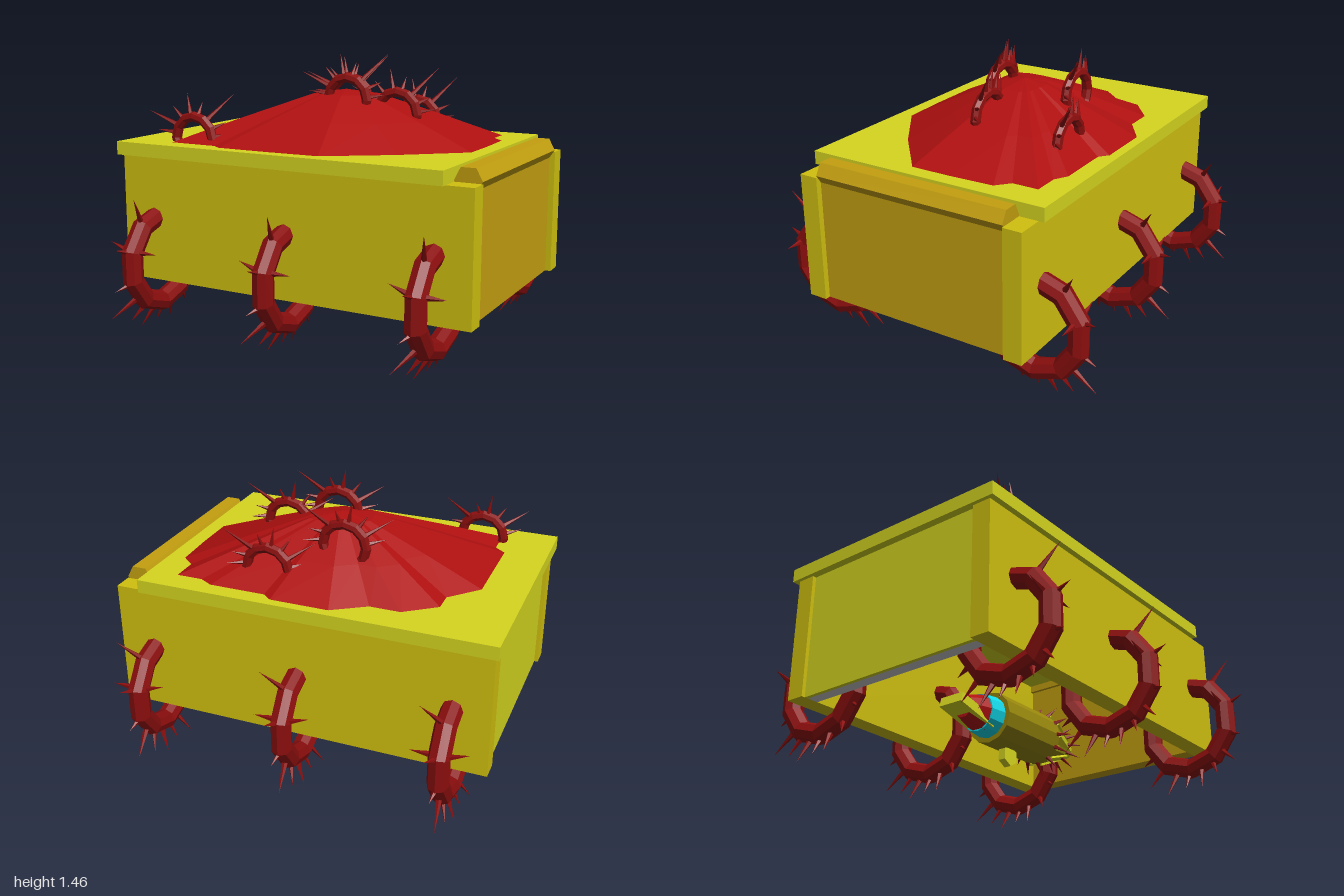
import * as THREE from 'three';

const paint = (color) => new THREE.MeshStandardMaterial({ color, flatShading: true });
const YELLOW = paint(0xd6d620), WALL = paint(0xd0c010), OCHRE = paint(0xc4a010);
const RED = paint(0xb01010), DARK_RED = paint(0x8c0e0e), CYAN = paint(0x10d8e8);
const OLIVE = paint(0x96860c), GREY = paint(0xcccccc);
const UP = new THREE.Vector3(0, 1, 0);

function add(parent, name, geometry, material, x = 0, y = 0, z = 0) {
  const mesh = new THREE.Mesh(geometry, material);
  mesh.name = name;
  mesh.position.set(x, y, z);
  parent.add(mesh);
  return mesh;
}

// Box given by its lower and upper limits on each axis
function block(parent, name, material, [x0, x1], [y0, y1], [z0, z1]) {
  return add(parent, name, new THREE.BoxGeometry(x1 - x0, y1 - y0, z1 - z0), material,
    (x0 + x1) / 2, (y0 + y1) / 2, (z0 + z1) / 2);
}

// Thin cone standing on a point and aimed along a direction
function spike(parent, base, dir, length, radius = 0.018) {
  const geometry = new THREE.ConeGeometry(radius, length, 5).translate(0, length / 2, 0);
  const mesh = add(parent, 'spike', geometry, DARK_RED, ...base);
  mesh.quaternion.setFromUnitVectors(UP, new THREE.Vector3(...dir).normalize());
}

// Ring leg passing under a long wall; side is +1 in front, -1 behind
function ringLeg(x, side) {
  const leg = new THREE.Group();
  leg.name = side > 0 ? 'frontLeg' : 'backLeg';
  leg.position.set(x, 0.38, side > 0 ? 0.62 : -0.56);
  const ring = new THREE.TorusGeometry(0.237, 0.055, 8, 10).rotateZ(Math.PI / 10).rotateY(Math.PI / 2);
  add(leg, 'ring', ring, DARK_RED);
  const spikes = [[55, 0.2], [18, 0.11], [-20, 0.1], [-42, 0.18], [-60, 0.13], [-76, 0.15],
    [-92, 0.12], [-108, 0.16], [-128, 0.15], [-150, 0.09]];
  for (const [deg, length] of spikes) {
    const a = THREE.MathUtils.degToRad(deg);
    const dy = Math.sin(a), dz = Math.cos(a) * side;
    spike(leg, [0, dy * 0.25, dz * 0.25], [0.5 * dy - 0.3 * dz, dy, dz], length);
  }
  for (const s of [1, -1]) spike(leg, [s * 0.03, 0.08, side * 0.22], [s, s > 0 ? 0 : 0.35, 0], 0.12);
  return leg;
}

// Half-buried ring on the mound with a twisted fan of spikes
function moundRing(x, y, z) {
  const group = new THREE.Group();
  group.name = 'moundRing';
  group.position.set(x, y, z);
  add(group, 'ring', new THREE.TorusGeometry(0.115, 0.027, 7, 12), DARK_RED);
  const spikes = [[168, 0.1], [148, 0.17], [125, 0.09], [100, 0.12], [78, 0.08], [52, 0.21], [28, 0.09], [8, 0.1]];
  for (const [deg, length] of spikes) {
    const a = THREE.MathUtils.degToRad(deg);
    const dx = Math.cos(a), dy = Math.sin(a);
    spike(group, [dx * 0.12, dy * 0.12, 0], [dx, dy, -0.75 * dx - 0.15], length, 0.014);
  }
  return group;
}

// Low faceted hill: one outline shrunk upward, closed at the peak
function moundGeometry() {
  const outline = [[-.16, -.59], [.15, -.59], [.2, -.55], [.5, -.55], [.57, -.51], [.71, -.51], [.71, -.37],
    [.78, -.31], [.79, -.07], [.79, .15], [.5, .4], [.18, .62], [-.1, .63], [-.4, .63], [-.46, .59],
    [-.73, .59], [-.73, .43], [-.79, .38], [-.79, -.1], [-.65, -.25], [-.65, -.36], [-.49, -.48], [-.33, -.48]];
  const levels = [[1, 0.995], [0.6, 1.12], [0.2, 1.24], [0, 1.265]];
  const n = outline.length, positions = [], index = [];
  for (const [s, y] of levels) for (const [x, z] of outline) positions.push(x * s, y, z * s);
  for (let l = 0; l < levels.length - 1; l++) {
    for (let i = 0; i < n; i++) {
      const a = l * n + i, b = l * n + (i + 1) % n;
      index.push(a, a + n, b, b, a + n, b + n);
    }
  }
  const geometry = new THREE.BufferGeometry();
  geometry.setAttribute('position', new THREE.Float32BufferAttribute(positions, 3));
  geometry.setIndex(index);
  geometry.computeVertexNormals();
  return geometry;
}

// Spiny barrel lying along x in the open underside
function spinyBarrel() {
  const group = new THREE.Group();
  group.name = 'spinyBarrel';
  group.position.set(0, 0.27, 0.03);
  const along = (g) => g.rotateZ(-Math.PI / 2);
  add(group, 'barrel', along(new THREE.CylinderGeometry(0.135, 0.135, 0.43, 12)), OLIVE, 0.01);
  add(group, 'nose', along(new THREE.CylinderGeometry(0.03, 0.135, 0.25, 12)), OLIVE, 0.35);
  add(group, 'collar', along(new THREE.CylinderGeometry(0.11, 0.1, 0.09, 12)), CYAN, -0.25);
  add(group, 'throat', along(new THREE.CylinderGeometry(0.1, 0.06, 0.13, 10)), RED, -0.34);
  block(group, 'tail', YELLOW, [-0.5, -0.24], [-0.05, 0], [-0.07, 0.07]).rotation.z = -0.25;
  add(group, 'foot', new THREE.CylinderGeometry(0.055, 0.055, 0.04, 6).rotateX(Math.PI / 2), YELLOW, -0.05, -0.165);
  for (let i = 0; i < 12; i++) {
    const a = (i / 12) * Math.PI * 2, dy = Math.cos(a), dz = Math.sin(a);
    // Yellow staves and two rows of spikes around the barrel
    const stave = add(group, 'stave', new THREE.BoxGeometry(0.26, 0.012, 0.03), YELLOW, 0.34, dy * 0.09, dz * 0.09);
    stave.quaternion.setFromRotationMatrix(new THREE.Matrix4().makeBasis(
      new THREE.Vector3(0.92, -0.39 * dy, -0.39 * dz),
      new THREE.Vector3(0.39, 0.92 * dy, 0.92 * dz),
      new THREE.Vector3(0, -dz, dy)));
    spike(group, [0.2, dy * 0.12, dz * 0.12], [0.7, dy, dz], 0.09, 0.014);
    spike(group, [0.36, dy * 0.07, dz * 0.07], [1.2, dy, dz], 0.1, 0.012);
  }
  return group;
}

export function createModel() {
  const model = new THREE.Group();
  model.name = 'spikyChest';

  // Chest walls, open below
  block(model, 'frontWall', WALL, [-0.98, 1], [0.27, 0.93], [0.56, 0.66]);
  block(model, 'backWall', WALL, [-0.98, 1], [0.27, 0.93], [-0.6, -0.5]);
  block(model, 'leftPanel', OCHRE, [0.88, 0.97], [0.27, 0.93], [-0.5, 0.56]);
  block(model, 'rightPanel', YELLOW, [-0.96, -0.94], [0.27, 0.93], [-0.5, 0.56]);
  block(model, 'rightLining', GREY, [-0.94, -0.88], [0.27, 0.93], [-0.5, 0.56]);
  block(model, 'lid', YELLOW, [-1, 0.86], [0.93, 1], [-0.63, 0.69]);

  // Chamfered rail over the left panel
  const rail = new THREE.Shape([[0.86, 0.89], [0.965, 0.89], [0.998, 0.94], [0.965, 1], [0.89, 1], [0.86, 0.94]]
    .map(([x, y]) => new THREE.Vector2(x, y)));
  add(model, 'leftRail', new THREE.ExtrudeGeometry(rail, { depth: 1.06, bevelEnabled: false }), OCHRE, 0, 0, -0.5);

  add(model, 'mound', moundGeometry(), RED);
  const rings = [[-0.62, 1.02, 0.52], [-0.11, 1.19, -0.25], [0.06, 1.22, 0.1], [0.31, 1.15, 0.02], [0.24, 1.07, -0.4]];
  for (const r of rings) model.add(moundRing(...r));

  for (const x of [-0.79, 0.01, 0.81]) for (const side of [1, -1]) model.add(ringLeg(x, side));
  model.add(spinyBarrel());
  return model;
}
